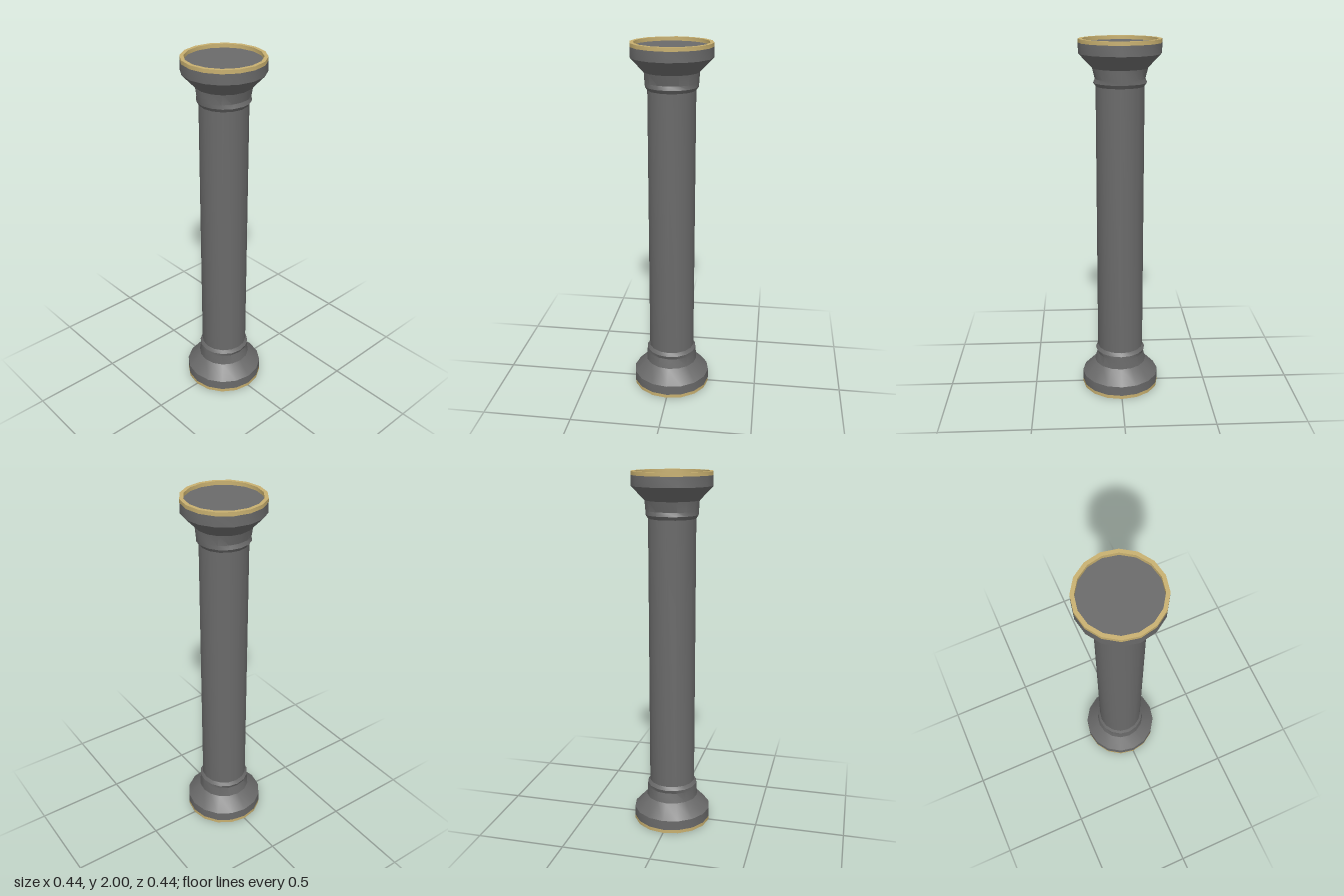
import * as THREE from 'three';
import { toCreasedNormals } from 'three/addons/utils/BufferGeometryUtils.js';

const SIDES = 16;
const stone = new THREE.MeshStandardMaterial({ color: 0x6a6a6a });
const gold = new THREE.MeshStandardMaterial({ color: 0xc8b070 });

// Turned part from [radius, height] points; adjust may reshape its vertices
function turned(name, points, material, adjust) {
  const geometry = new THREE.LatheGeometry(points.map(([r, y]) => new THREE.Vector2(r, y)), SIDES);
  if (adjust) adjust(geometry.attributes.position);
  const mesh = new THREE.Mesh(toCreasedNormals(geometry, 0.5), material);
  mesh.name = name;
  return mesh;
}

// Foot of the column; turned upside down it is also the capital
function createEnd(name) {
  const end = new THREE.Group();
  end.name = name;

  // Recessed plate, drum and flare
  end.add(turned('flaredDrum', [[0, 0.02], [0.22, 0.02], [0.22, 0.075], [0.148, 0.15]], stone));

  // Neck and bead: the groove is deeper at the sides than at front and back
  const grooveY = 0.205;
  end.add(turned('neckBead', [[0.148, 0.15], [0.134, grooveY], [0.143, 0.226], [0.13, 0.245]], stone, (pos) => {
    for (let i = 0; i < pos.count; i++) {
      if (Math.abs(pos.getY(i) - grooveY) < 0.001) pos.setZ(i, pos.getZ(i) * 1.08);
    }
  }));

  // Raised gold rim
  end.add(turned('goldRim', [[0.2, 0.02], [0.2, 0], [0.22, 0], [0.22, 0.02]], gold));
  return end;
}

export function createModel() {
  const column = new THREE.Group();
  column.name = 'column';

  column.add(turned('shaft', [[0.13, 0.24], [0.13, 1.76]], stone));
  column.add(createEnd('base'));

  const capital = createEnd('capital');
  capital.rotation.x = Math.PI;
  capital.position.y = 2;
  column.add(capital);

  return column;
}
